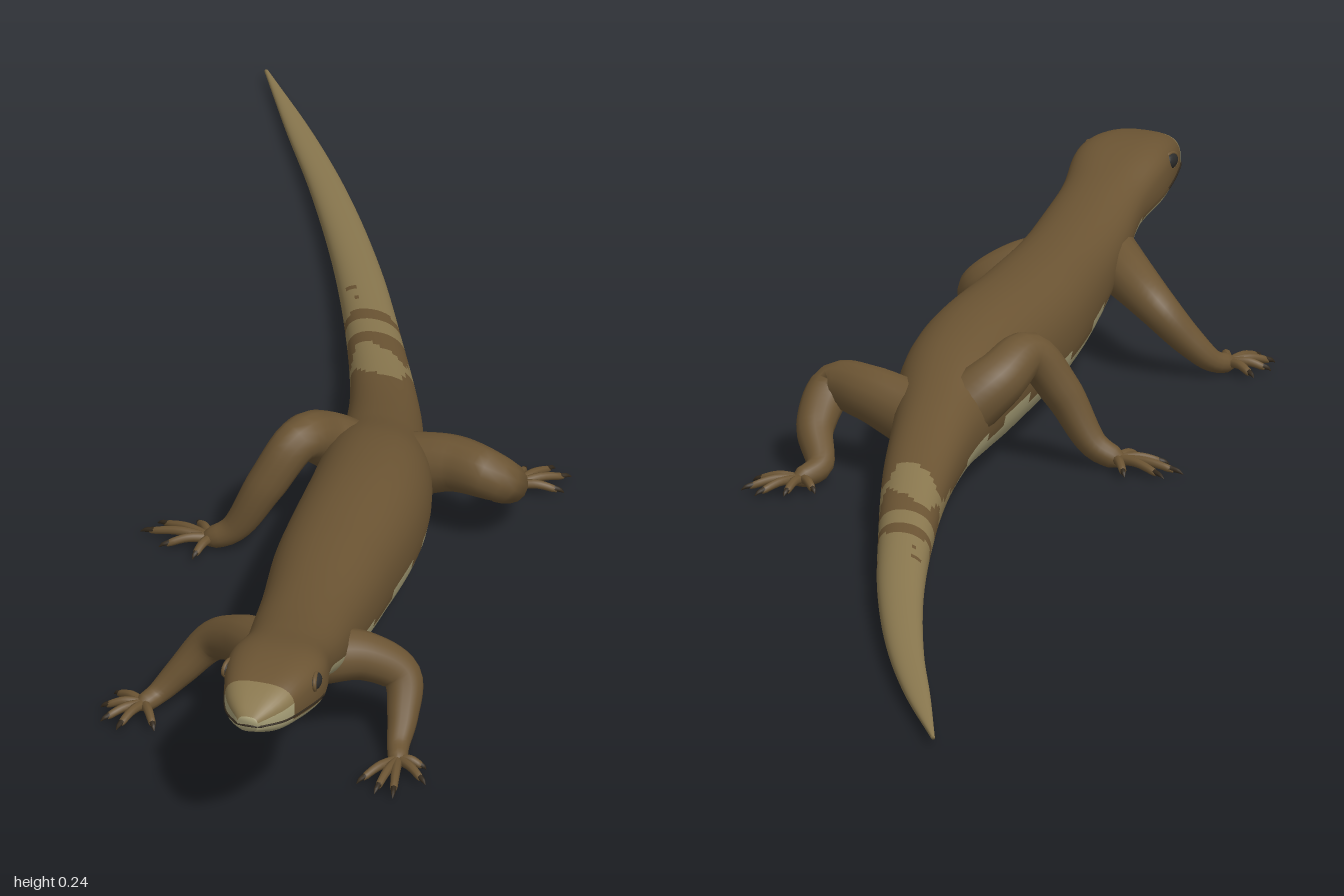
import * as THREE from 'three';

const flat = (name, color) => {
  const m = new THREE.MeshStandardMaterial({ color });
  m.name = name;
  return m;
};

// Body stations from tail tip to snout: z, centre x, half width, bottom y, top y
const STATIONS = [
  [-1, -0.4, 0.003, 0.014, 0.02], [-0.85, -0.305, 0.019, 0.011, 0.03],
  [-0.7, -0.215, 0.027, 0.01, 0.04], [-0.5, -0.11, 0.034, 0.01, 0.055],
  [-0.3, -0.02, 0.04, 0.011, 0.074], [-0.1, 0.06, 0.05, 0.015, 0.102],
  [0.05, 0.105, 0.062, 0.02, 0.142], [0.15, 0.13, 0.078, 0.016, 0.175],
  [0.25, 0.147, 0.084, 0.014, 0.19], [0.45, 0.165, 0.081, 0.034, 0.196],
  [0.6, 0.185, 0.071, 0.065, 0.2], [0.7, 0.2, 0.066, 0.105, 0.21],
  [0.78, 0.212, 0.061, 0.138, 0.225], [0.87, 0.225, 0.068, 0.155, 0.244],
  [0.93, 0.228, 0.056, 0.165, 0.24], [0.97, 0.228, 0.039, 0.172, 0.226],
  [1, 0.228, 0.014, 0.186, 0.208],
];
const profile = new THREE.CubicInterpolant(
  STATIONS.map((s) => s[0]), STATIONS.flatMap((s) => s.slice(1)), 4, new Float32Array(4));

// Point on the skin at length z and angle a (0 = left side, PI/2 = top)
function skin(z, a, grow = 1) {
  const [x, w, bottom, top] = profile.evaluate(z);
  const e = THREE.MathUtils.lerp(0.9, 0.7, THREE.MathUtils.smoothstep(z, 0.74, 0.86));
  const round = (v) => Math.sign(v) * Math.abs(v) ** e;
  return new THREE.Vector3(
    x + grow * w * round(Math.cos(a)),
    (top + bottom) / 2 + grow * ((top - bottom) / 2) * round(Math.sin(a)), z);
}

// Colour zone of the skin: 0 back, 1 tail and snout, 2 belly and jaw
function zone(z, a) {
  const h = Math.sin(a);
  const wave = 0.08 * Math.sin(z * 37) + 0.05 * Math.sin(z * 83);
  if (z > 0.955) return h < 0.1 ? 2 : 1;
  if (z > 0.8) return h < -0.3 ? 2 : 0;
  if (z > 0.02) return h < -0.25 + wave ? 2 : 0;
  if (z > -0.08) return h < -0.3 + wave ? 2 : 0;
  if (z < -0.34 + wave) return 1;
  const patch = Math.sin(z * 31 + 1) + 0.6 * Math.sin(a * 3 + z * 20);
  return h < -0.1 + wave || (z < -0.1 && patch > 0.35) ? 1 : 0;
}

function bodyGeometry() {
  const rings = 200, sides = 36, points = [], faces = [[], [], []];
  for (let i = 0; i <= rings; i++)
    for (let j = 0; j < sides; j++)
      points.push(skin(-1 + (2 * i) / rings, (j / sides) * Math.PI * 2));
  for (let i = 0; i < rings; i++)
    for (let j = 0; j < sides; j++) {
      const k = (j + 1) % sides, a = i * sides + j, b = i * sides + k;
      const z = -1 + (2 * (i + 0.5)) / rings;
      faces[zone(z, ((j + 0.5) / sides) * Math.PI * 2)]
        .push(a, b, a + sides, b, b + sides, a + sides);
    }
  // Close the tail tip and the snout
  for (let j = 1; j < sides - 1; j++) {
    const n = rings * sides;
    faces[1].push(0, j + 1, j);
    faces[2].push(n, n + j, n + j + 1);
  }
  const geo = new THREE.BufferGeometry().setFromPoints(points);
  geo.setIndex(faces.flat());
  let start = 0;
  faces.forEach((f, m) => {
    geo.addGroup(start, f.length, m);
    start += f.length;
  });
  geo.computeVertexNormals();
  return geo;
}

// Tube through points [x, y, z, radius] with a changing radius
function limb(stops, segments, sides) {
  const curve = new THREE.CatmullRomCurve3(stops.map((s) => new THREE.Vector3(s[0], s[1], s[2])));
  const geo = new THREE.TubeGeometry(curve, segments, 1, sides);
  const pos = geo.attributes.position, v = new THREE.Vector3();
  for (let i = 0; i <= segments; i++) {
    const centre = curve.getPointAt(i / segments);
    const t = curve.getUtoTmapping(i / segments) * (stops.length - 1);
    const k = Math.min(Math.floor(t), stops.length - 2);
    const r = THREE.MathUtils.lerp(stops[k][3], stops[k + 1][3], t - k);
    for (let j = 0; j <= sides; j++) {
      const n = i * (sides + 1) + j;
      v.fromBufferAttribute(pos, n).sub(centre).multiplyScalar(r).add(centre);
      pos.setXYZ(n, v.x, v.y, v.z);
    }
  }
  geo.computeVertexNormals();
  // Keep the lengthwise seam smooth
  const nor = geo.attributes.normal;
  for (let i = 0; i <= segments; i++) {
    const a = i * (sides + 1), b = a + sides;
    v.fromBufferAttribute(nor, a);
    v.add(new THREE.Vector3().fromBufferAttribute(nor, b)).normalize();
    nor.setXYZ(a, v.x, v.y, v.z);
    nor.setXYZ(b, v.x, v.y, v.z);
  }
  return geo;
}

// Each leg: stops from body to palm, and toe tips as [x, z]
const LEGS = {
  leftFrontLeg: {
    stops: [[0.22, 0.13, 0.68, 0.04], [0.275, 0.122, 0.648, 0.033], [0.323, 0.092, 0.633, 0.027],
      [0.335, 0.05, 0.665, 0.021], [0.34, 0.024, 0.7, 0.015], [0.348, 0.018, 0.725, 0.013], [0.353, 0.015, 0.738, 0.003]],
    toes: [[0.388, 0.727], [0.4, 0.767], [0.37, 0.815], [0.343, 0.812], [0.312, 0.792]],
  },
  rightFrontLeg: {
    stops: [[0.16, 0.135, 0.7, 0.04], [0.105, 0.122, 0.655, 0.033], [0.058, 0.098, 0.632, 0.027],
      [0.02, 0.055, 0.645, 0.021], [-0.008, 0.024, 0.665, 0.015], [-0.02, 0.018, 0.685, 0.013], [-0.026, 0.015, 0.697, 0.003]],
    toes: [[-0.07, 0.66], [-0.076, 0.7], [-0.064, 0.737], [-0.037, 0.753], [0.012, 0.74]],
  },
  leftHindLeg: {
    stops: [[0.15, 0.09, 0.08, 0.045], [0.22, 0.108, 0.09, 0.038], [0.28, 0.106, 0.105, 0.032],
      [0.282, 0.066, 0.05, 0.026], [0.252, 0.028, 0, 0.018], [0.263, 0.019, -0.032, 0.014], [0.268, 0.015, -0.046, 0.003]],
    toes: [[0.328, -0.046], [0.324, -0.09], [0.296, -0.106], [0.26, -0.092], [0.228, -0.063]],
  },
  rightHindLeg: {
    stops: [[0.1, 0.09, 0.09, 0.045], [0.052, 0.138, 0.13, 0.038], [0.033, 0.162, 0.185, 0.03],
      [-0.003, 0.105, 0.215, 0.027], [-0.045, 0.035, 0.225, 0.019], [-0.075, 0.019, 0.23, 0.015], [-0.09, 0.015, 0.231, 0.003]],
    toes: [[-0.11, 0.183], [-0.16, 0.2], [-0.175, 0.229], [-0.138, 0.262], [-0.085, 0.28]],
  },
};

export function createModel() {
  const brown = flat('brown scales', 0x6b5433);
  const tan = flat('tan scales', 0x8a784f);
  const cream = flat('cream belly', 0xa8a078);
  const dark = flat('dark claws and mouth', 0x33291c);
  const eyeGrey = flat('eye', 0x2b2b2a);

  const model = new THREE.Group();
  model.name = 'lizard';
  const add = (parent, name, geo, mat) => {
    const mesh = new THREE.Mesh(geo, mat);
    mesh.name = name;
    parent.add(mesh);
    return mesh;
  };

  add(model, 'body', bodyGeometry(), [brown, tan, cream]);

  // Legs with spread toes and claws
  for (const [name, { stops, toes }] of Object.entries(LEGS)) {
    const leg = new THREE.Group();
    leg.name = name;
    model.add(leg);
    add(leg, 'limb', limb(stops, 36, 14), brown);
    const [px, , pz] = stops[stops.length - 2];
    for (const [tx, tz] of toes) {
      const at = (f, y, r) => [px + (tx - px) * f, y, pz + (tz - pz) * f, r];
      add(leg, 'toe', limb([at(0, 0.018, 0.007), at(0.45, 0.021, 0.0062),
        at(0.8, 0.015, 0.005), at(0.86, 0.013, 0.003)], 10, 8), brown);
      add(leg, 'claw', limb([at(0.8, 0.016, 0.0042), at(0.92, 0.014, 0.003), at(1, 0.01, 0.0004)], 5, 6), dark);
    }
  }

  // Eyes with brow lids, one on each side of the head
  for (const side of [0, 1]) {
    const name = side ? 'right' : 'left';
    const centre = skin(0.893, side ? Math.PI - 0.22 : 0.22, 0.95);
    const eye = add(model, name + 'Eye', new THREE.SphereGeometry(1, 18, 12), eyeGrey);
    eye.position.copy(centre);
    eye.scale.set(0.008, 0.011, 0.016);
    const lid = add(model, name + 'Eyelid', new THREE.TorusGeometry(0.0145, 0.003, 8, 24), brown);
    lid.position.copy(centre);
    lid.rotation.y = Math.PI / 2 + (side ? -0.2 : 0.2);
    lid.scale.y = 0.75;
  }

  // Mouth line wrapping round the snout
  const mouth = [];
  for (let i = -8; i <= 8; i++) {
    const z = 1 - 0.13 * (i / 8) ** 2;
    const a = -0.12 - 0.1 * Math.abs(i / 8);
    if (i === 0) mouth.push(new THREE.Vector3(0.228, skin(1, a).y, 1));
    else mouth.push(skin(z, i > 0 ? a : Math.PI - a, 1.005));
  }
  add(model, 'mouthLine', new THREE.TubeGeometry(new THREE.CatmullRomCurve3(mouth), 48, 0.0016, 6), dark);

  return model;
}
